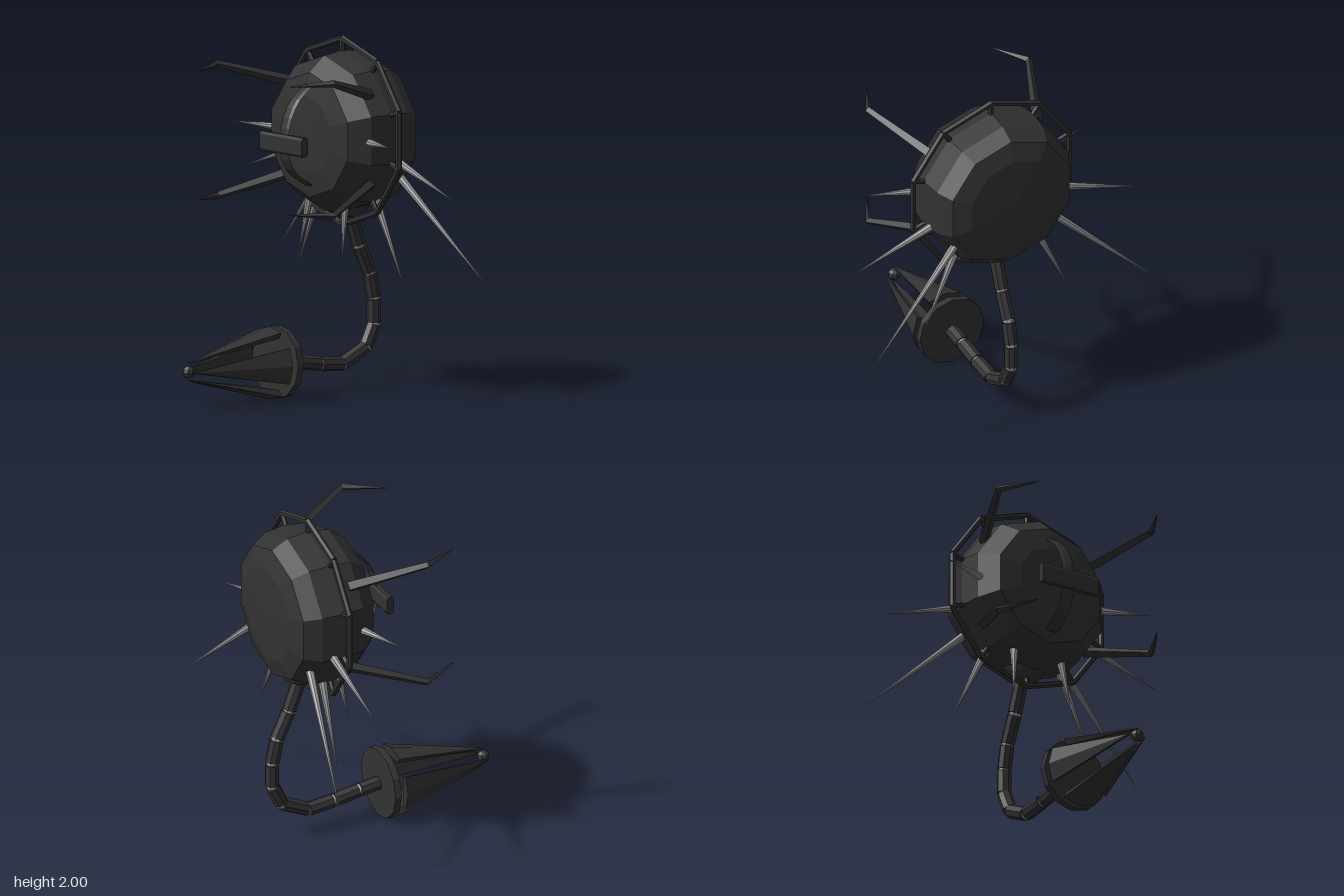
import * as THREE from 'three';
import { ConvexGeometry } from 'three/addons/geometries/ConvexGeometry.js';

const V = (x, y, z = 0) => new THREE.Vector3(x, y, z);
const dark = new THREE.MeshStandardMaterial({ color: 0x333333, flatShading: true });
const steel = new THREE.MeshStandardMaterial({ color: 0x999999, flatShading: true });

export function createModel() {
  const model = new THREE.Group();

  function add(name, geometry, material = dark, position = V(0, 0), parent = model) {
    const mesh = new THREE.Mesh(geometry, material);
    mesh.name = name;
    mesh.position.copy(position);
    parent.add(mesh);
    return mesh;
  }

  // Tapered rod from a (radius ra) to b (radius rb)
  function rod(name, a, b, ra, rb, sides, material = dark, parent = model) {
    const dir = b.clone().sub(a);
    const mesh = add(name, new THREE.CylinderGeometry(rb, ra, dir.length(), sides),
      material, a.clone().add(b).multiplyScalar(0.5), parent);
    mesh.quaternion.setFromUnitVectors(V(0, 1), dir.normalize());
    return mesh;
  }

  function group(name) {
    const g = new THREE.Group();
    g.name = name;
    model.add(g);
    return g;
  }

  const centre = V(0.42, 1.46);

  // Flattened ten-sided body, its axis along x
  const profile = [[-0.265, 0], [-0.26, 0.22], [-0.235, 0.35], [-0.13, 0.435], [0, 0.455],
    [0.13, 0.44], [0.225, 0.39], [0.258, 0.28], [0.27, 0]].map(([x, r]) => new THREE.Vector2(r, x));
  const body = add('body', new THREE.LatheGeometry(profile, 10, Math.PI / 2), dark, centre);
  body.rotation.z = -Math.PI / 2;

  // Ten-sided guard ring with a strut at every corner
  const ring = group('guardRing');
  const corner = (i, r) => V(0, r * Math.cos(i * Math.PI / 5), r * Math.sin(i * Math.PI / 5)).add(centre);
  for (let i = 0; i < 10; i++) {
    rod('ringBar', corner(i, 0.522), corner(i + 1, 0.522), 0.018, 0.018, 6, dark, ring);
    rod('ringStrut', corner(i, 0.42), corner(i, 0.528), 0.016, 0.016, 6, dark, ring);
  }

  // Curved strap carrying the grip
  const strapPath = new THREE.CatmullRomCurve3([[0.18, 1.74], [0.08, 1.66], [0.02, 1.55], [0, 1.43],
    [0.02, 1.32], [0.08, 1.24], [0.18, 1.18]].map(p => V(...p)));
  const strap = new THREE.TubeGeometry(strapPath, 12, 0.008, 6);
  strap.scale(1, 1, 5);
  add('gripStrap', strap);
  const gripShape = new THREE.Shape([[-0.012, -0.055], [0.012, -0.055], [0.022, -0.04], [0.022, 0.04],
    [0.012, 0.055], [-0.012, 0.055], [-0.022, 0.04], [-0.022, -0.04]].map(p => new THREE.Vector2(...p)));
  add('grip', new THREE.ExtrudeGeometry(gripShape, { depth: 0.37, bevelEnabled: false }), dark, V(0, 1.425, -0.185));

  // Four bent claws: a square section swept over base, elbow and tip
  function claw(path, radii) {
    const g = new THREE.CylinderGeometry(1, 1, 2, 4, 2);
    const p = g.attributes.position;
    for (let i = 0; i < p.count; i++) {
      const k = 1 - Math.round(p.getY(i));
      p.setXYZ(i, path[k].x, path[k].y + p.getX(i) * radii[k], path[k].z - p.getZ(i) * radii[k]);
    }
    g.computeVertexNormals();
    return g;
  }
  for (const up of [1, -1]) for (const side of [1, -1]) {
    const path = [V(0.35, 1.455 + up * 0.25, side * 0.335), V(-0.06, 1.455 + up * 0.37, side * 0.51),
      V(-0.28, 1.455 + up * 0.36, side * 0.4)];
    add(up > 0 ? 'upperClaw' : 'lowerClaw', claw(path, [0.034, 0.021, 0.003]));
  }

  // Mirrored spikes, each given by base and tip
  const spikes = [
    [V(0.295, 1.45, 0.38), V(0.2, 1.46, 0.69)],
    [V(0.48, 1.335, 0.4), V(0.475, 1.16, 0.92)],
    [V(0.57, 1.24, 0.3), V(0.71, 0.65, 0.94)],
    [V(0.46, 1.1, 0.25), V(0.48, 0.63, 0.47)],
    [V(0.315, 1.09, 0.155), V(0.265, 0.78, 0.19)],
  ];
  for (const [base, tip] of spikes) for (const side of [1, -1]) {
    const m = V(1, 1, side);
    rod('spike', base.clone().multiply(m), tip.clone().multiply(m), 0.025, 0, 8, steel);
  }

  // Jointed tail hanging from a socket
  const socket = add('tailSocket', new THREE.SphereGeometry(0.12, 10, 6), dark, V(0.46, 1.045));
  socket.scale.y = 0.6;
  const tail = group('tail');
  const nodes = [[0.47, 1.0], [0.54, 0.81], [0.615, 0.65], [0.645, 0.505], [0.645, 0.36], [0.585, 0.235],
    [0.42, 0.155], [0.26, 0.17], [0.1, 0.195], [-0.03, 0.21]].map(p => V(...p));
  for (let i = 0; i < nodes.length - 1; i++) {
    const a = nodes[i], b = nodes[i + 1];
    const gap = 0.008 / a.distanceTo(b);
    rod('tailSegment', a.clone().lerp(b, gap), a.clone().lerp(b, 1 - gap), 0.041, 0.041, 8, dark, tail);
    if (i) add('tailJoint', new THREE.SphereGeometry(0.034, 8, 6), steel, a, tail);
  }

  // Tail head: disc, four tapering blades and a ball at the point
  const head = group('tailHead');
  head.position.set(0, 0.208, 0);
  const disc = add('headDisc', new THREE.CylinderGeometry(0.205, 0.205, 0.04, 12), dark, V(-0.042, 0), head);
  disc.rotation.z = Math.PI / 2;
  const bladePoints = [V(-0.1, 0.205, 0), V(-0.1, 0.178, 0.103), V(-0.1, 0.178, -0.103),
    V(-0.1, 0.145, 0.085), V(-0.1, 0.145, -0.085), V(-0.68, 0.053, 0), V(-0.68, 0.045, 0.004), V(-0.68, 0.045, -0.004)];
  for (let i = 0; i < 4; i++) {
    const blade = add('headBlade', new ConvexGeometry(bladePoints), dark, V(0, 0), head);
    blade.rotation.x = i * Math.PI / 2;
  }
  add('headTip', new THREE.SphereGeometry(0.036, 8, 6), dark, V(-0.68, 0), head);

  return model;
}
